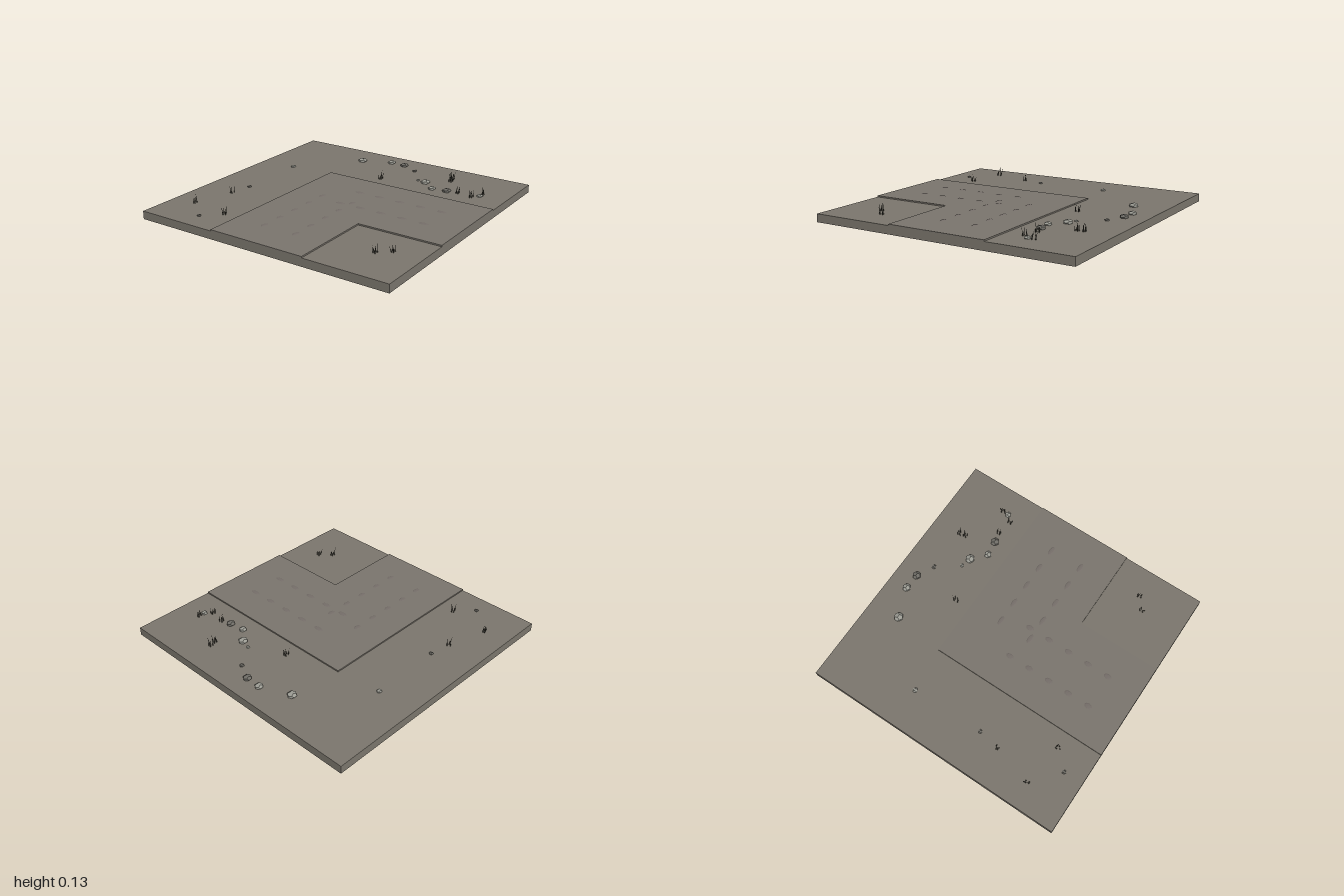
import * as THREE from 'three';

const mat = (name, color, flatShading = false) => {
  const m = new THREE.MeshStandardMaterial({ color, flatShading });
  m.name = name;
  return m;
};

export function createModel() {
  const model = new THREE.Group();
  model.name = 'roadCornerTile';
  const ground = mat('groundBrownGrey', 0x7a756c);
  const path = mat('pathBrownGrey', 0x79746c);
  const track = mat('trackGrey', 0x746d68, true);
  const paleStone = mat('paleStone', 0x9c9c94, true);
  const darkStone = mat('darkStone', 0x6e6c66, true);
  const grass = mat('dryGrass', 0x45433a, true);

  const add = (parent, name, geometry, material, x, y, z) => {
    const mesh = new THREE.Mesh(geometry, material);
    mesh.name = name;
    mesh.position.set(x, y, z);
    parent.add(mesh);
    return mesh;
  };
  const group = (name) => {
    const g = new THREE.Group();
    g.name = name;
    model.add(g);
    return g;
  };
  let seed = 7;
  const rnd = () => (seed = (seed * 16807) % 2147483647) / 2147483647;

  // Ground slab
  add(model, 'groundSlab', new THREE.BoxGeometry(2, 0.06, 2), ground, 0, 0.03, 0);

  // Raised L-shaped road bend, drawn in plan with shape y = -z
  const bend = new THREE.Shape([
    [-0.375, -1], [0.37, -1], [0.37, -0.37], [1, -0.37], [1, 0.375], [-0.375, 0.375],
  ].map(([x, y]) => new THREE.Vector2(x, y)));
  const bendGeo = new THREE.ExtrudeGeometry(bend, { depth: 0.012, bevelEnabled: false });
  bendGeo.rotateX(-Math.PI / 2);
  add(model, 'roadBend', bendGeo, path, 0, 0.058, 0);

  // Shallow track marks along both legs of the road
  const tracks = group('trackMarks');
  const markGeo = new THREE.SphereGeometry(1, 8, 4);
  for (const side of [-0.13, 0.13]) {
    for (let i = 0; i < 5; i++) {
      add(tracks, 'crossTrack', markGeo, track, 0.06 + i * 0.168, 0.07, side * 0.97)
        .scale.set(0.04, 0.004, 0.018);
      add(tracks, 'frontTrack', markGeo, track, side, 0.07, 0.08 + i * 0.165)
        .scale.set(0.02, 0.004, 0.032);
    }
  }

  // Scattered stones: x, z, radius, material
  const stones = group('stones');
  const stoneGeo = new THREE.DodecahedronGeometry(1);
  [
    [-0.33, -0.76, 0.036, paleStone], [-0.11, -0.85, 0.032, paleStone],
    [0.01, -0.845, 0.033, darkStone], [0.14, -0.78, 0.018, darkStone],
    [0.265, -0.615, 0.014, paleStone], [0.34, -0.595, 0.036, paleStone],
    [0.445, -0.505, 0.029, paleStone], [0.56, -0.52, 0.034, darkStone],
    [0.805, -0.565, 0.024, paleStone], [-0.71, -0.335, 0.02, paleStone],
    [-0.7, 0.215, 0.016, darkStone], [-0.615, 0.85, 0.016, darkStone],
  ].forEach(([x, z, r, m]) => {
    add(stones, 'stone', stoneGeo, m, x, 0.06 + r * 0.3, z).scale.set(r, r * 0.5, r);
  });

  // Grass tufts of thin leaning blades
  const tufts = group('grassTufts');
  const bladeGeo = new THREE.ConeGeometry(0.0045, 1, 4);
  bladeGeo.translate(0, 0.5, 0);
  [
    [0.47, -0.78], [0.48, -0.735], [0.01, -0.49], [0.64, -0.54], [0.76, -0.52], [0.805, -0.61],
    [-0.73, 0.375], [-0.81, 0.68], [-0.495, 0.725], [0.7, 0.68], [0.785, 0.605],
  ].forEach(([x, z]) => {
    const tuft = new THREE.Group();
    tuft.name = 'grassTuft';
    tuft.position.set(x, 0.058, z);
    tufts.add(tuft);
    for (let i = 0; i < 4; i++) {
      const a = i * 1.57 + rnd();
      const blade = add(tuft, 'grassBlade', bladeGeo, grass, Math.cos(a) * 0.012, 0, Math.sin(a) * 0.015);
      blade.scale.y = 0.045 + rnd() * 0.03;
      blade.rotation.set((rnd() - 0.5) * 0.5, 0, (rnd() - 0.5) * 0.5);
    }
  });

  return model;
}
